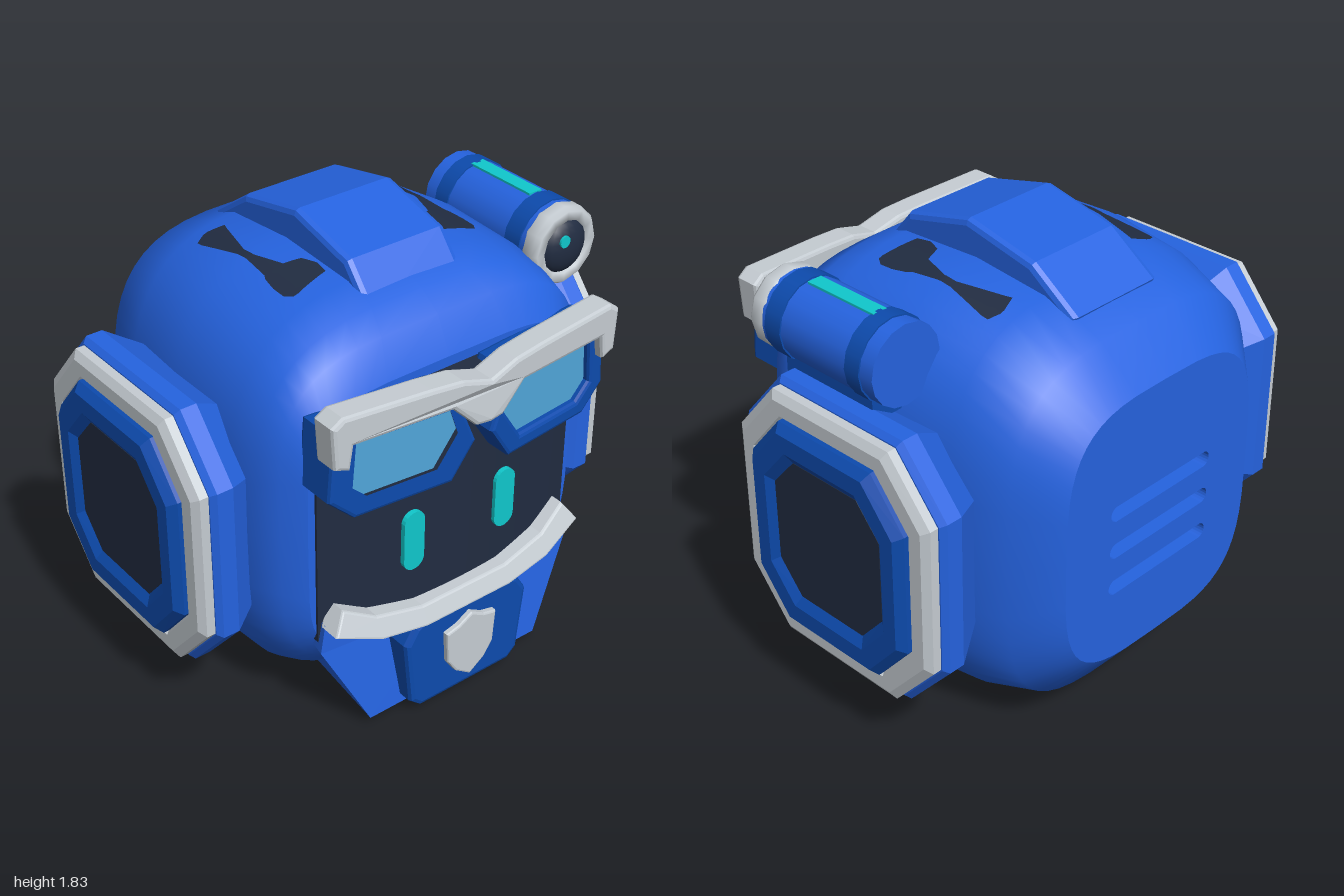
import * as THREE from 'three';

const mat = (name, color) => {
  const m = new THREE.MeshStandardMaterial({ color });
  m.name = name;
  return m;
};
const blue = mat('shell blue', 0x2563e0);
const navy = mat('trim blue', 0x0d4bae);
const white = mat('light grey', 0xc6cdd3);
const dark = mat('screen navy', 0x212c41);
const teal = mat('glow teal', 0x10c8cc);
const glass = mat('lens blue', 0x50a6da);

const mesh = (name, geo, material) => {
  const m = new THREE.Mesh(geo, material);
  m.name = name;
  return m;
};

// Skin over closed rings of [x, y, z], counter-clockwise seen from +z, advancing along +z
function loft(rings, { start = false, end = false, flat = false } = {}) {
  const m = rings[0].length, pos = rings.flat(2), idx = [];
  for (let i = 0; i < rings.length - 1; i++)
    for (let j = 0; j < m; j++) {
      const a = i * m + j, b = i * m + (j + 1) % m;
      idx.push(a, b, b + m, a, b + m, a + m);
    }
  const cap = (ring, flip) => {
    const base = pos.length / 3;
    pos.push(...ring.flat());
    pos.push(...[0, 1, 2].map(k => ring.reduce((s, p) => s + p[k], 0) / m));
    for (let j = 0; j < m; j++) {
      const a = base + j, b = base + (j + 1) % m;
      idx.push(base + m, flip ? b : a, flip ? a : b);
    }
  };
  if (start) cap(rings[0], true);
  if (end) cap(rings[rings.length - 1], false);
  let g = new THREE.BufferGeometry();
  g.setAttribute('position', new THREE.Float32BufferAttribute(pos, 3));
  g.setIndex(idx);
  if (flat) g = g.toNonIndexed();
  g.computeVertexNormals();
  return g;
}

// Move every vertex by a rule
function warp(g, rule) {
  const p = g.attributes.position, v = new THREE.Vector3();
  for (let i = 0; i < p.count; i++) {
    rule(v.fromBufferAttribute(p, i));
    p.setXYZ(i, v.x, v.y, v.z);
  }
  g.computeVertexNormals();
  return g;
}

const toShape = pts => new THREE.Shape(pts.map(p => new THREE.Vector2(...p)));
const mirrored = half => [...half, ...half.filter(p => p[0] !== 0).reverse().map(([x, y]) => [-x, y])];

// Plate between z0 and z1 with bevelled rims
function plate(pts, z0, z1, bevel = 0, hole) {
  const s = toShape(pts);
  if (hole) s.holes.push(toShape(hole));
  const g = new THREE.ExtrudeGeometry(s, {
    depth: z1 - z0 - 2 * bevel, bevelEnabled: bevel > 0, bevelSize: bevel,
    bevelThickness: bevel, bevelOffset: -bevel, bevelSegments: 2, curveSegments: 6,
  });
  return g.translate(0, 0, z0 + bevel);
}

// Head cross-sections: z, half width, bottom, top, squareness
const HEAD = [
  [-0.79, 0.50, 0.30, 1.40, 3.6], [-0.65, 0.645, 0.12, 1.57, 3.4], [-0.42, 0.705, 0.03, 1.67, 3.2],
  [-0.09, 0.75, 0.00, 1.70, 3.2], [0.27, 0.75, 0.05, 1.68, 3.2], [0.40, 0.73, 0.13, 1.63, 3.4],
  [0.49, 0.69, 0.24, 1.57, 4], [0.56, 0.62, 0.34, 1.43, 5],
];
function headRing([z, w, y0, y1, n], segs = 48) {
  const f = c => Math.sign(c) * Math.abs(c) ** (2 / n);
  return Array.from({ length: segs }, (_, i) => {
    const t = i / segs * Math.PI * 2;
    return [w * f(Math.cos(t)), (y0 + y1) / 2 + (y1 - y0) / 2 * f(Math.sin(t)), z];
  });
}
function headTop(x, z) {
  const i = HEAD.findIndex(r => r[0] > z), a = HEAD[i - 1], b = HEAD[i];
  const [, w, y0, y1, n] = a.map((v, k) => v + (b[k] - v) * (z - a[0]) / (b[0] - a[0]));
  return (y0 + y1) / 2 + (y1 - y0) / 2 * (1 - Math.abs(x / w) ** n) ** (1 / n);
}

// Rounded-end bar outline, counter-clockwise
function capsule(cx, cy, hx, hy) {
  const r = Math.min(hx, hy);
  return Array.from({ length: 20 }, (_, i) => {
    const t = (i + 0.5) / 20 * Math.PI * 2, c = Math.cos(t), s = Math.sin(t);
    return [cx + Math.sign(c) * (hx - r) + r * c, cy + Math.sign(s) * (hy - r) + r * s];
  });
}

const octagon = ([z, a, b]) => [[1, -.57], [1, .57], [.6, 1], [-.6, 1], [-1, .57], [-1, -.57], [-.6, -1], [.6, -1]]
  .map(([x, y]) => [x * a, y * b, z]);

function makeHead() {
  const g = new THREE.Group();
  g.name = 'head';
  g.add(mesh('headShell', loft(HEAD.map(r => headRing(r)), { end: true }), blue));
  // Flat back with three recessed vents
  const back = toShape(headRing(HEAD[0]).map(p => p.slice(0, 2)));
  for (const y of [0.63, 0.79, 0.95]) {
    const slot = capsule(0, y, 0.27, 0.032);
    back.holes.push(toShape(slot));
    const ring = z => slot.map(([x, yy]) => [x, yy, z]).reverse();
    g.add(mesh('ventRecess', loft([ring(-0.79), ring(-0.72)], { flat: true }), blue));
    g.add(mesh('ventFloor', new THREE.ShapeGeometry(toShape(slot)).rotateY(Math.PI).translate(0, 0, -0.72), blue));
  }
  g.add(mesh('backPanel', warp(new THREE.ShapeGeometry(back).rotateY(Math.PI), v => { v.z = -0.79; }), blue));
  // Crest over the crown, drawn in profile and turned across the head
  const crest = [[.41, 1.57], [.26, 1.75], [-.04, 1.825], [-.35, 1.76], [-.55, 1.62], [-.5, 1.5], [.35, 1.5]];
  g.add(mesh('crest', plate(crest.map(([z, y]) => [-z, y]), -0.22, 0.22, 0.025).rotateY(Math.PI / 2), blue));
  // Dark crown marks: z, inner x, outer x
  const rows = [[-.37, .37, .39], [-.35, .31, .43], [-.32, .32, .43], [-.14, .37, .4], [-.08, .37, .4],
    [.04, .33, .41], [.06, .265, .42], [.12, .24, .43], [.18, .25, .43], [.21, .39, .41]];
  for (const s of [1, -1]) {
    const mark = new THREE.PlaneGeometry(1, 1, 6, 36);
    g.add(mesh('crownMark', warp(mark, v => {
      const t = (0.5 - v.y) * (rows.length - 1), i = Math.min(Math.floor(t), rows.length - 2);
      const [z, a, b] = rows[i].map((q, k) => q + (rows[i + 1][k] - q) * (t - i));
      const x = s > 0 ? a + (b - a) * (v.x + 0.5) : -b + (b - a) * (v.x + 0.5);
      v.set(x, headTop(x, z) + 0.008, z);
    }), dark));
  }
  return g;
}

function makeFace() {
  const g = new THREE.Group();
  g.name = 'face';
  g.add(mesh('screen', warp(new THREE.BoxGeometry(1.18, 0.94, 0.1, 16, 1, 1).translate(0, 0.92, 0.59),
    v => { v.z -= 0.2 * v.x * v.x; }), dark));
  for (const x of [-0.215, 0.215])
    g.add(mesh('eye', plate(capsule(x, 0.78, 0.047, 0.127), 0.63, 0.65), teal));
  // Chin wedge, tapering toward the back
  const chin = (k, z0, z1) => [[-.41 * k, .04, z0], [.41 * k, .04, z0], [.6 * k, .42, z1], [.58 * k, .54, z1],
    [.25, .46, z1], [-.25, .46, z1], [-.58 * k, .54, z1], [-.6 * k, .42, z1]];
  g.add(mesh('chin', loft([chin(0.9, 0.26, 0.32), chin(1, 0.65, 0.6)], { start: true, end: true, flat: true }), blue));
  // Curved lip that leans forward as it drops
  const lip = [...mirrored([[.2, .5], [.4, .54], [.53, .61], [.585, .53], [.4, .455], [.2, .425]])];
  g.add(mesh('lip', warp(plate(lip, 0.54, 0.635, 0.008), v => { v.z += (0.62 - v.y) * 0.45; }), white));
  g.add(mesh('badgePlate', plate(mirrored([[.21, .45], [.25, .43], [.295, .36], [.265, .08], [.22, .04]]), 0.58, 0.715, 0.02), navy));
  g.add(mesh('shield', plate(mirrored([[0, .4], [.06, .365], [.12, .35], [.11, .21], [.07, .15], [0, .1]]), 0.7, 0.74, 0.008), white));
  return g;
}

function makeGoggles() {
  const g = new THREE.Group();
  g.name = 'goggles';
  const outer = [[.12, 1.41], [.035, 1.2], [.13, 1.055], [.53, 1.055], [.63, 1.15], [.61, 1.41]];
  const inner = [[.14, 1.375], [.1, 1.255], [.19, 1.12], [.49, 1.12], [.555, 1.18], [.54, 1.375]];
  const sweep = v => { v.z -= 0.1 * Math.abs(v.x); };
  for (const s of [1, -1]) {
    const side = pts => pts.map(([x, y]) => [x * s, y]);
    g.add(mesh('goggleFrame', warp(plate(side(outer), 0.58, 0.76, 0.015, side(inner)), sweep), navy));
    g.add(mesh('goggleLens', warp(plate(side(inner), 0.72, 0.729), sweep), glass));
  }
  const brow = mirrored([[0, 1.445], [.12, 1.48], [.25, 1.49], [.6, 1.505], [.645, 1.475], [.635, 1.31],
    [.575, 1.29], [.56, 1.385], [.16, 1.38], [.06, 1.28], [0, 1.275]]);
  g.add(mesh('brow', warp(plate(brow, 0.68, 0.79, 0.015), v => { v.z -= 0.08 * Math.abs(v.x); }), white));
  return g;
}

// Octagonal ear built outward along z, then turned to the side
function makeEar(s) {
  const g = new THREE.Group();
  g.name = s > 0 ? 'leftEar' : 'rightEar';
  const part = (name, m, rings, end = false) => g.add(mesh(name, loft(rings.map(octagon), { end, flat: true }), m));
  part('earBase', blue, [[.64, .4, .44], [.82, .51, .55], [.885, .51, .55], [.905, .49, .53]], true);
  part('earRim', white, [[.89, .485, .525], [.94, .485, .525], [.96, .455, .495], [.96, .4, .44], [.94, .385, .425]]);
  part('earRing', navy, [[.9, .39, .43], [.97, .39, .43], [1, .36, .4], [1, .3, .33], [.975, .27, .29]]);
  part('earPanel', dark, [[.96, .27, .29], [.977, .27, .29]], true);
  g.rotation.y = s * Math.PI / 2;
  g.position.set(0, 0.83, -0.1);
  return g;
}

function makeCamera() {
  const g = new THREE.Group();
  g.name = 'camera';
  const tube = (name, r, z0, z1, m) => g.add(mesh(name,
    new THREE.CylinderGeometry(r, r, z1 - z0, 16).rotateX(Math.PI / 2).translate(0, 0, (z0 + z1) / 2), m));
  tube('cameraBody', 0.155, -0.26, 0.3, blue);
  tube('cameraBand', 0.161, 0.2, 0.28, navy);
  tube('cameraBand', 0.161, -0.2, -0.13, navy);
  const ring = [[.15, .29], [.16, .305], [.16, .35], [.145, .37], [.11, .37], [.1, .34]];
  g.add(mesh('cameraRim', new THREE.LatheGeometry(ring.map(p => new THREE.Vector2(...p)), 12).rotateX(Math.PI / 2), white));
  g.add(mesh('cameraLens', new THREE.SphereGeometry(0.112, 16, 12).scale(1, 1, 0.5).translate(0, 0, 0.34), dark));
  g.add(mesh('lensGlint', new THREE.CylinderGeometry(0.024, 0.024, 0.009, 12).rotateX(Math.PI / 2).translate(-0.03, 0.04, 0.392), teal));
  g.add(mesh('lightStrip', new THREE.BoxGeometry(0.06, 0.009, 0.33).translate(0, 0.154, 0.025), teal));
  g.add(mesh('cameraMount', new THREE.BoxGeometry(0.2, 0.1, 0.44).translate(0, -0.16, 0.025), navy));
  g.position.set(0.725, 1.54, 0);
  return g;
}

export function createModel() {
  const model = new THREE.Group();
  model.name = 'robotHelmet';
  model.add(makeHead(), makeFace(), makeGoggles(), makeEar(1), makeEar(-1), makeCamera());
  return model;
}
